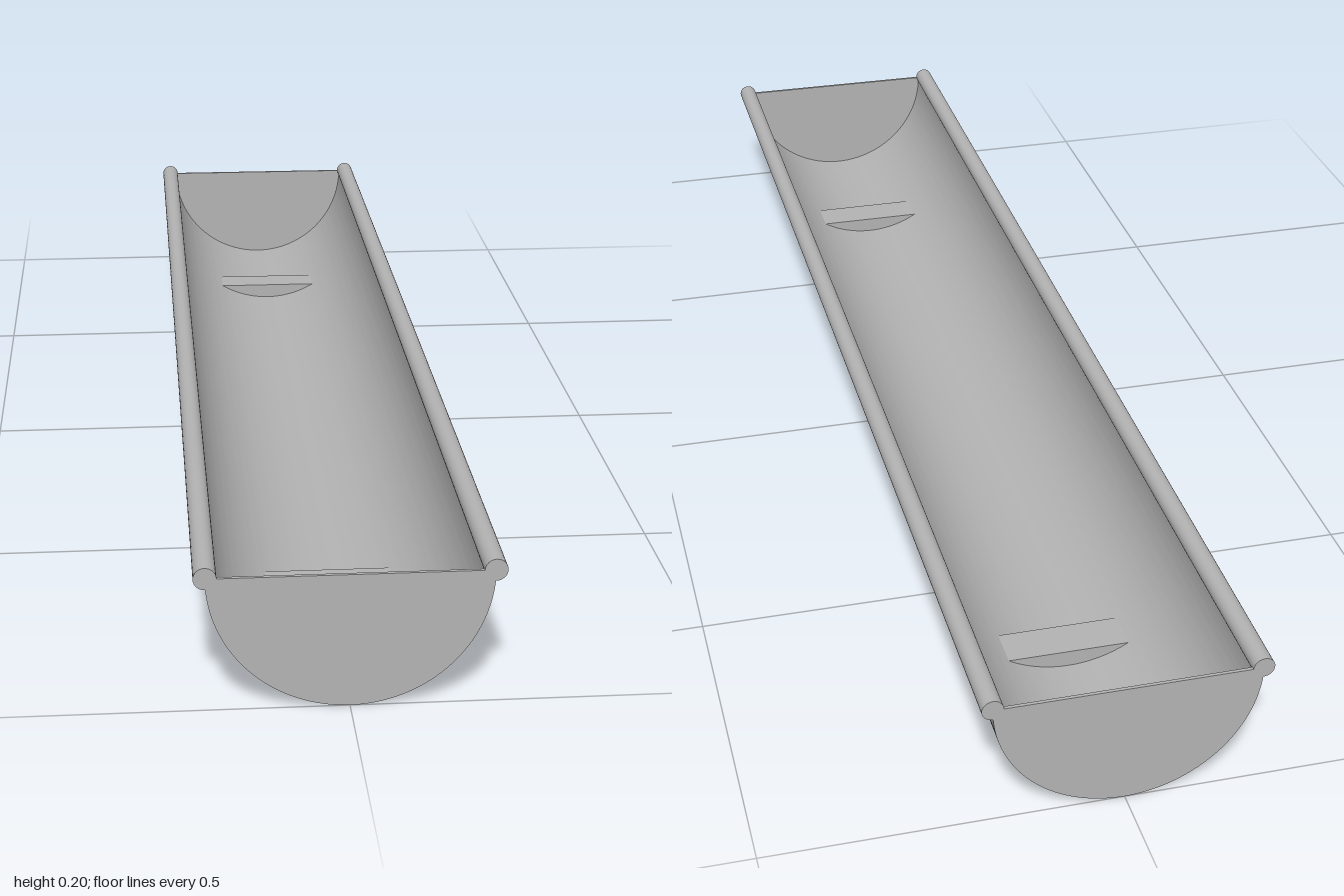
import * as THREE from 'three';
import { toCreasedNormals } from 'three/addons/utils/BufferGeometryUtils.js';

const LENGTH = 2, OUTER = 0.185, INNER = 0.173, RIM = 0.015, CAP = 0.005;

export function createModel() {
  const metal = new THREE.MeshStandardMaterial({ color: 0xb4b4b4 });
  metal.name = 'grey metal';
  const model = new THREE.Group();
  model.name = 'trough';

  const add = (name, geometry, x, y, z) => {
    const mesh = new THREE.Mesh(geometry, metal);
    mesh.name = name;
    mesh.position.set(x, y, z);
    model.add(mesh);
  };
  const extrude = (shape, depth) => toCreasedNormals(
    new THREE.ExtrudeGeometry(shape, { depth, bevelEnabled: false, curveSegments: 48 }), 0.5);

  // Half-round channel wall
  const wall = new THREE.Shape();
  wall.absarc(0, 0, OUTER, Math.PI, 2 * Math.PI, false);
  wall.absarc(0, 0, INNER, 2 * Math.PI, Math.PI, true);
  wall.closePath();
  add('channel', extrude(wall, LENGTH), 0, OUTER, -LENGTH / 2);

  // Half-disc plates closing both ends
  const disc = new THREE.Shape();
  disc.absarc(0, 0, INNER, Math.PI, 2 * Math.PI, false);
  disc.closePath();
  add('frontEndPlate', extrude(disc, CAP), 0, OUTER, LENGTH / 2 - CAP);
  add('backEndPlate', extrude(disc, CAP), 0, OUTER, -LENGTH / 2);

  // Round rims along both upper edges
  const rim = new THREE.CylinderGeometry(RIM, RIM, LENGTH, 32).rotateX(Math.PI / 2);
  add('leftRim', rim, OUTER, OUTER, 0);
  add('rightRim', rim, -OUTER, OUTER, 0);

  // Cross bars the trough stands on, their tops showing inside
  const foot = new THREE.BoxGeometry(0.274, 0.0365, 0.06);
  add('frontFoot', foot, 0, 0.0188, 0.7);
  add('backFoot', foot, 0, 0.0188, -0.7);

  return model;
}
